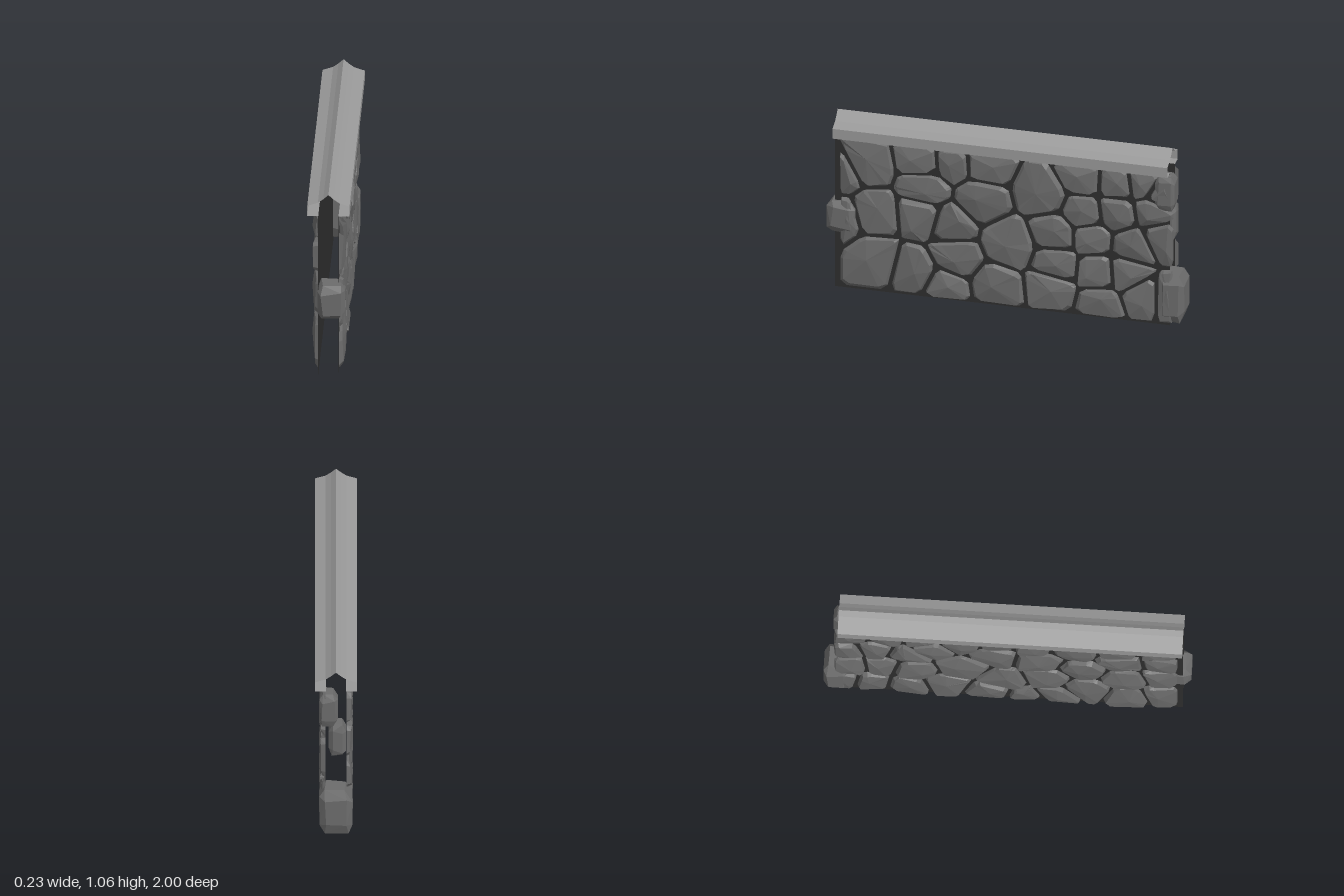
import * as THREE from 'three';
import { ConvexGeometry } from 'three/addons/geometries/ConvexGeometry.js';

const Z0 = -0.92, Z1 = 0.955, SHEET_X = 0.055, WALL_TOP = 0.935;

let seed = 7;
const rnd = () => (seed = (seed * 16807) % 2147483647) / 2147483647;
const jitter = (a) => (rnd() - 0.5) * 2 * a;

// Stone centres on each face of the wall, as [z, y]
const LEFT_STONES = [
  [.78, .78], [.93, .70], [.47, .84], [.30, .85], [.12, .86], [-.21, .72], [-.43, .85], [-.44, .63],
  [-.62, .84], [-.77, .86], [-.88, .80], [-.62, .65], [-.83, .68], [-.88, .54], [.45, .67], [.14, .64],
  [.74, .48], [.93, .43], [.47, .50], [.31, .46], [-.02, .39], [-.28, .48], [-.48, .48], [-.71, .46],
  [.28, .27], [.73, .20], [.51, .15], [.34, .07], [.05, .11], [-.29, .30], [-.26, .14], [-.51, .28],
  [-.53, .08], [-.68, .29], [-.77, .16], [-.92, .16],
];
const RIGHT_STONES = [
  [-.90, .16], [-.73, .14], [-.55, .12], [-.33, .17], [-.10, .10], [.12, .06], [.24, .10], [.44, .22],
  [.66, .15], [.84, .19], [-.86, .38], [-.68, .40], [-.52, .37], [-.24, .45], [-.01, .31], [.20, .36],
  [.42, .52], [.64, .42], [.85, .47], [-.88, .60], [-.72, .64], [-.55, .60], [-.42, .70], [-.07, .65],
  [.17, .62], [.62, .66], [.85, .68], [-.86, .83], [-.66, .85], [-.48, .86], [-.27, .80], [-.04, .87],
  [.14, .84], [.36, .80], [.60, .86], [.84, .86],
];

// Keep the part of a polygon where (p - m) . n <= 0
function clip(poly, m, n) {
  const out = [];
  const dist = (p) => p.clone().sub(m).dot(n);
  poly.forEach((a, i) => {
    const b = poly[(i + 1) % poly.length], da = dist(a), db = dist(b);
    if (da <= 0) out.push(a);
    if ((da <= 0) !== (db <= 0)) out.push(a.clone().lerp(b, da / (da - db)));
  });
  return out;
}

// Outline of one stone: its share of the wall, less the mortar gap
function outline(sites, i, lo, hi, gap) {
  const V = (x, y) => new THREE.Vector2(x, y);
  let poly = [V(lo, 0.015), V(hi, 0.015), V(hi, 0.925), V(lo, 0.925)];
  const c = sites[i];
  sites.forEach((s, j) => {
    if (j === i) return;
    const n = s.clone().sub(c).normalize();
    const m = s.clone().add(c).multiplyScalar(0.5).addScaledVector(n, -gap);
    poly = clip(poly, m, n);
  });
  // Cut the corners
  const cut = [];
  poly.forEach((p, k) => {
    const a = poly[(k + poly.length - 1) % poly.length], b = poly[(k + 1) % poly.length];
    cut.push(p.clone().lerp(a, 0.14 + jitter(0.06)), p.clone().lerp(b, 0.14 + jitter(0.06)));
  });
  return cut;
}

// Faceted stone: base ring, raised inner ring, off-centre crown and back
function stoneGeometry(poly) {
  const n = poly.length, pos = [], idx = [];
  const c = poly.reduce((s, p) => s.add(p), new THREE.Vector2()).divideScalar(n);
  const tiltA = rnd() * Math.PI * 2, tilt = 0.008;
  poly.forEach((p) => pos.push(p.x, p.y, SHEET_X + 0.002));
  poly.forEach((p) => {
    const q = p.clone().lerp(c, 0.1 + jitter(0.05));
    const lean = Math.cos(Math.atan2(p.y - c.y, p.x - c.x) - tiltA) * tilt;
    pos.push(q.x, q.y, 0.078 + lean + jitter(0.003));
  });
  pos.push(c.x + jitter(0.025), c.y + jitter(0.025), 0.093, c.x, c.y, SHEET_X + 0.002);
  for (let i = 0; i < n; i++) {
    const j = (i + 1) % n;
    idx.push(i, j, n + j, i, n + j, n + i, n + i, n + j, 2 * n, j, i, 2 * n + 1);
  }
  const g = new THREE.BufferGeometry();
  g.setAttribute('position', new THREE.Float32BufferAttribute(pos, 3));
  g.setIndex(idx);
  const flat = g.toNonIndexed();
  flat.computeVertexNormals();
  return flat;
}

// One face of stones, built facing +z and turned to face left or right
function stoneFace(list, side, mat) {
  const group = new THREE.Group();
  group.name = side > 0 ? 'leftStones' : 'rightStones';
  const sites = list.map(([z, y]) => new THREE.Vector2(-side * z, y));
  const ends = [-side * (Z0 - 0.02), -side * (Z1 - 0.03)].sort((a, b) => a - b);
  sites.forEach((s, i) => {
    const mesh = new THREE.Mesh(stoneGeometry(outline(sites, i, ends[0], ends[1], 0.011)), mat);
    mesh.name = 'stone';
    group.add(mesh);
  });
  group.rotation.y = side * Math.PI / 2;
  return group;
}

// Rough block that pokes out of an open end of the wall
function endStone([x0, x1], [y0, y1], [z0, z1], mat) {
  const pts = [], half = new THREE.Vector3(x1 - x0, y1 - y0, z1 - z0).multiplyScalar(0.5);
  const mid = new THREE.Vector3(x0 + x1, y0 + y1, z0 + z1).multiplyScalar(0.5);
  for (const sx of [-1, 1]) for (const sy of [-1, 1]) for (const sz of [-1, 1]) {
    for (let k = 0; k < 3; k++) {
      const inset = [0, 1, 2].map((a) => (a === k ? 1 : 0.62 + jitter(0.15)));
      pts.push(new THREE.Vector3(sx * inset[0], sy * inset[1], sz * inset[2]).multiply(half).add(mid));
    }
  }
  const mesh = new THREE.Mesh(new ConvexGeometry(pts), mat);
  mesh.name = 'endStone';
  return mesh;
}

// Coping: open ridged profile swept along the wall, flat facets
function copingGeometry() {
  const half = [[0.055, WALL_TOP], [0.115, WALL_TOP], [0.115, 0.995], [0.057, 1.014], [0.028, 1.035]];
  const profile = [...half, [0, 1.06], ...half.map(([x, y]) => [-x, y]).reverse()];
  const pos = [];
  for (let i = 0; i < profile.length - 1; i++) {
    const [ax, ay] = profile[i], [bx, by] = profile[i + 1];
    pos.push(ax, ay, Z1, ax, ay, Z0, bx, by, Z0, ax, ay, Z1, bx, by, Z0, bx, by, Z1);
  }
  const g = new THREE.BufferGeometry();
  g.setAttribute('position', new THREE.Float32BufferAttribute(pos, 3));
  g.computeVertexNormals();
  return g;
}

export function createModel() {
  seed = 7;
  const model = new THREE.Group();
  model.name = 'stoneWall';
  const stone = new THREE.MeshStandardMaterial({ color: 0x6c6c6c, flatShading: true });
  const mortar = new THREE.MeshStandardMaterial({ color: 0x2e2e2e, side: THREE.DoubleSide });
  const cap = new THREE.MeshStandardMaterial({ color: 0x999999, side: THREE.DoubleSide });

  // Two thin mortar sheets with their stones
  for (const side of [1, -1]) {
    const sheet = new THREE.Mesh(new THREE.PlaneGeometry(Z1 - Z0, WALL_TOP), mortar);
    sheet.name = side > 0 ? 'leftMortar' : 'rightMortar';
    sheet.rotation.y = side * Math.PI / 2;
    sheet.position.set(side * SHEET_X, WALL_TOP / 2, (Z0 + Z1) / 2);
    model.add(sheet, stoneFace(side > 0 ? LEFT_STONES : RIGHT_STONES, side, stone));
  }

  // Stones at the open ends
  model.add(
    endStone([-0.09, 0.09], [0.02, 0.31], [-1.0, -0.86], stone),
    endStone([-0.055, 0.04], [0.51, 0.72], [-0.945, -0.85], stone),
    endStone([-0.01, 0.09], [0.71, 0.92], [-0.95, -0.84], stone),
    endStone([-0.06, 0.09], [0.34, 0.53], [0.84, 1.0], stone),
  );

  // Ridged coping along the top
  const coping = new THREE.Mesh(copingGeometry(), cap);
  coping.name = 'coping';
  model.add(coping);
  return model;
}
